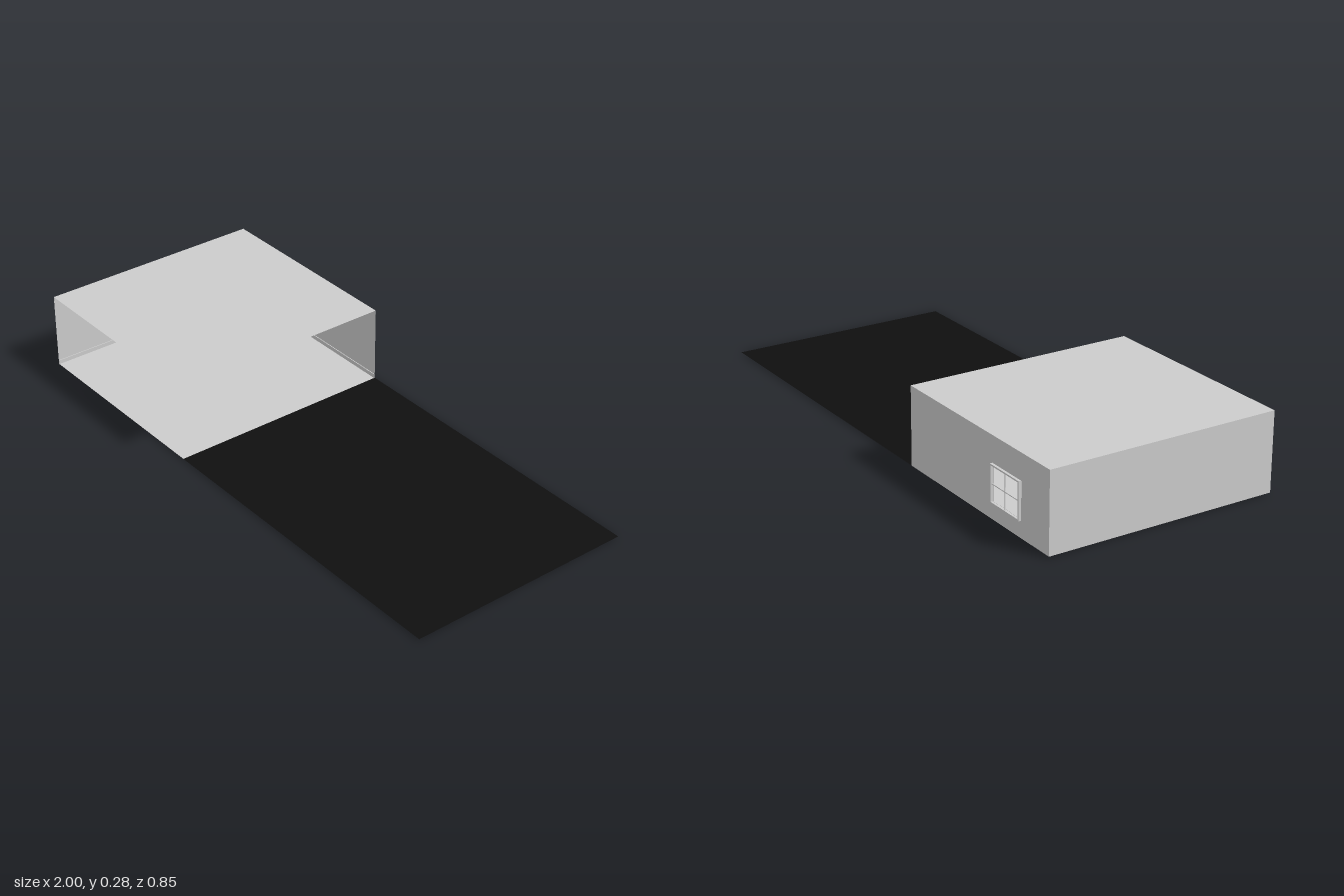
import * as THREE from 'three';

const mat = (name, color, side = THREE.FrontSide) =>
  new THREE.MeshStandardMaterial({ name, color, side });

export function createModel() {
  const plaster = mat('plaster grey', 0xcccccc, THREE.DoubleSide);
  const asphalt = mat('asphalt black', 0x0f0f0f, THREE.DoubleSide);
  const olive = mat('olive', 0xa09c58);
  const root = new THREE.Group();
  root.name = 'openRoom';

  const add = (name, geometry, material, x, y, z) => {
    const mesh = new THREE.Mesh(geometry, material);
    mesh.name = name;
    mesh.position.set(x, y, z);
    root.add(mesh);
    return mesh;
  };
  const box = (name, w, h, d, x, y, z, m = plaster) =>
    add(name, new THREE.BoxGeometry(w, h, d), m, x, y, z);
  const slab = (name, x0, x1, y, material) => {
    const g = new THREE.PlaneGeometry(x1 - x0, D).rotateX(-Math.PI / 2);
    return add(name, g, material, (x0 + x1) / 2, y, ZC);
  };

  // Room extents; the front and the +x side are open
  const X0 = -1, X1 = -0.22, Z0 = -0.412, Z1 = 0.422;
  const Y0 = 0.004, Y1 = 0.281;
  const W = X1 - X0, D = Z1 - Z0, XC = (X0 + X1) / 2, ZC = (Z0 + Z1) / 2;

  // Floor, roof and the yard beside the room
  slab('floor', X0, X1, Y0, plaster);
  slab('roof', X0, X1, Y1, plaster);
  slab('yard', X1, 1, Y0, asphalt);

  // Side wall
  const side = new THREE.PlaneGeometry(D, Y1 - Y0).rotateY(Math.PI / 2);
  add('sideWall', side, plaster, X0, (Y0 + Y1) / 2, ZC);

  // Back wall with the window opening
  const wx0 = -0.853, wx1 = -0.703, wy0 = 0.066, wy1 = 0.19;
  const rect = (shape, x0, y0, x1, y1) =>
    shape.moveTo(x0, y0).lineTo(x1, y0).lineTo(x1, y1).lineTo(x0, y1).closePath();
  const wall = rect(new THREE.Shape(), X0, Y0, X1, Y1);
  wall.holes.push(rect(new THREE.Path(), wx0, wy0, wx1, wy1));
  add('backWall', new THREE.ShapeGeometry(wall), plaster, 0, 0, Z0);

  // Trim along the foot and head of both walls
  for (const y of [Y0 + 0.008, Y1 - 0.008]) {
    box('backTrim', W, 0.015, 0.003, XC, y, Z0 + 0.0018);
    box('sideTrim', 0.003, 0.015, D, X0 + 0.0018, y, ZC);
  }

  // Window frame standing proud of the wall, with crossing bars
  const frame = rect(new THREE.Shape(), wx0 - 0.003, wy0 - 0.003, wx1 + 0.003, wy1 + 0.003);
  frame.holes.push(rect(new THREE.Path(), wx0 + 0.002, wy0 + 0.002, wx1 - 0.002, wy1 - 0.002));
  add('windowFrame', new THREE.ExtrudeGeometry(frame, { depth: 0.009, bevelEnabled: false }),
    plaster, 0, 0, -0.424);
  const wxc = (wx0 + wx1) / 2, wyc = (wy0 + wy1) / 2;
  box('windowBarUpright', 0.003, wy1 - wy0, 0.003, wxc, wyc, -0.42);
  box('windowBarCross', wx1 - wx0, 0.003, 0.003, wxc, wyc, -0.42);

  // Pedestal table: foot, stem and a shallow dished top
  const profile = [
    [0, 0], [0.021, 0], [0.021, 0.007], [0.018, 0.01], [0.004, 0.011],
    [0.004, 0.072], [0.012, 0.073], [0.041, 0.079], [0.042, 0.082], [0, 0.082],
  ].map(([r, y]) => new THREE.Vector2(r, y));
  const tableGeo = new THREE.LatheGeometry(profile, 32);
  add('table', tableGeo, olive, -0.927, 0, -0.339);

  return root;
}
